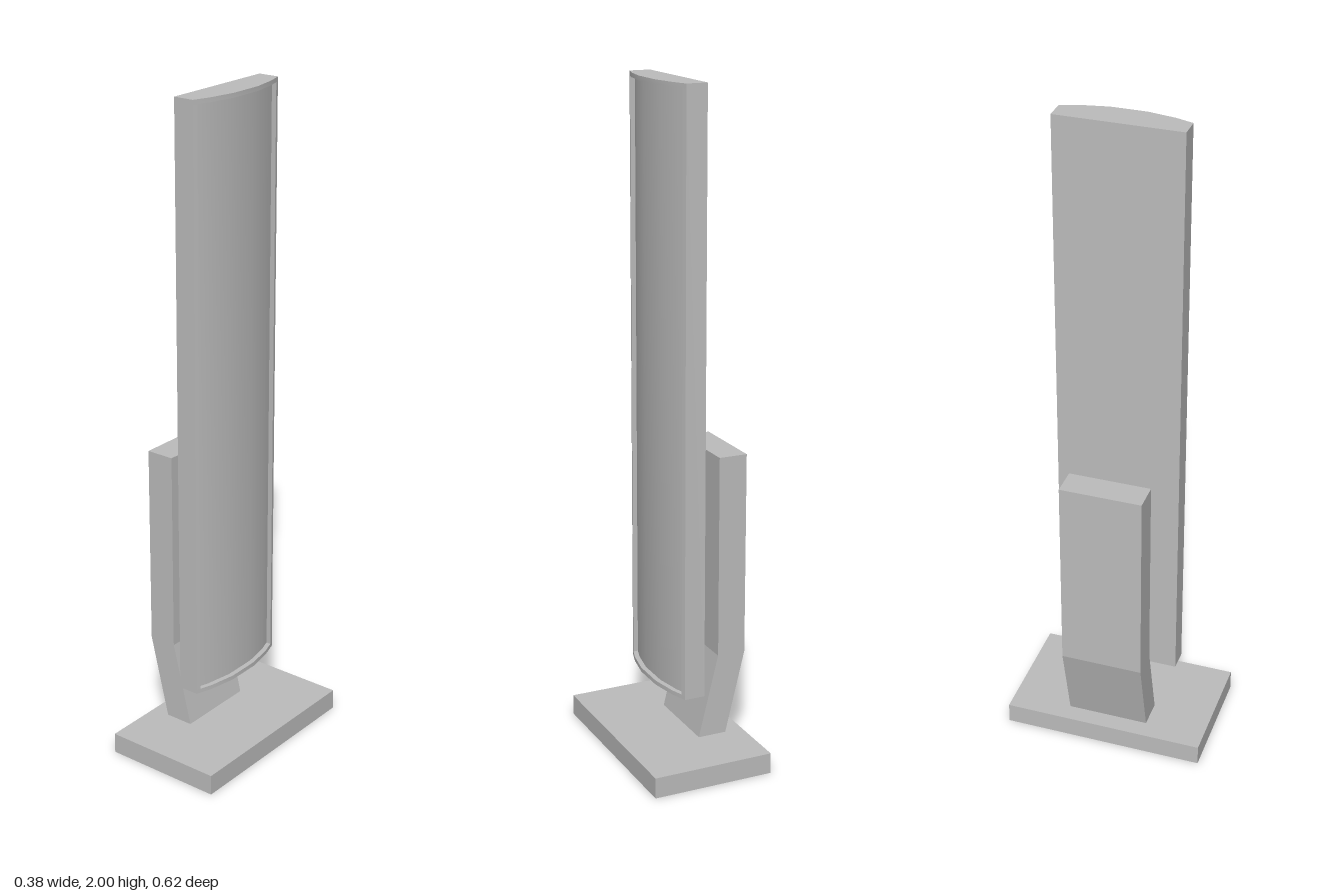
import * as THREE from 'three';
import { toCreasedNormals } from 'three/addons/utils/BufferGeometryUtils.js';

const toShape = (pts) => new THREE.Shape(pts.map(([x, y]) => new THREE.Vector2(x, y)));

// Extrude a plan outline (x, z) upwards between two heights, smoothing only the shallow curve
function extrudeUp(outline, y0, y1) {
  const g = new THREE.ExtrudeGeometry(toShape(outline), { depth: y1 - y0, bevelEnabled: false });
  g.rotateX(-Math.PI / 2).translate(0, y0, 0);
  return toCreasedNormals(g, 0.5);
}

export function createModel() {
  const group = new THREE.Group();
  const grey = new THREE.MeshStandardMaterial({ color: 0xbcbcbc });
  grey.name = 'grey';

  const add = (name, geometry) => {
    const mesh = new THREE.Mesh(geometry, grey);
    mesh.name = name;
    group.add(mesh);
  };
  const addBox = (name, x0, x1, y0, y1, depth) => {
    const g = new THREE.BoxGeometry(x1 - x0, y1 - y0, depth);
    add(name, g.translate((x0 + x1) / 2, (y0 + y1) / 2, 0));
  };

  // Base plate
  addBox('base', -0.184, 0.187, 0, 0.063, 0.616);

  // Upright with a kinked foot
  const upright = new THREE.ExtrudeGeometry(toShape([
    [-0.128, 0.063], [-0.04, 0.063], [-0.102, 0.315],
    [-0.102, 0.928], [-0.189, 0.928], [-0.189, 0.315],
  ]), { depth: 0.248, bevelEnabled: false });
  add('upright', upright.translate(0, 0, -0.124));

  // Bracket joining upright and panel
  addBox('bracket', -0.102, -0.027, 0.745, 0.863, 0.062);

  // Panel: bowed face towards +x, set back inside a thin rim
  const back = -0.027, edge = 0.185, rim = 0.013, recess = 0.015;
  const bow = [[0.053, 0.133], [0.068, 0.052]];
  const bowMirrored = [...bow].reverse().map(([x, z]) => [x, -z]);
  const arc = [...bowMirrored, ...bow].sort((a, b) => a[1] - b[1]);
  const full = [[back, -edge], [0.036, -edge], ...arc, [0.036, edge], [back, edge]];
  const inner = edge - rim, rimX = 0.0403;
  const recessed = [
    [back, -edge], [0.036, -edge], [rimX, -inner], [rimX - recess, -inner],
    ...arc.map(([x, z]) => [x - recess, z]),
    [rimX - recess, inner], [rimX, inner], [0.036, edge], [back, edge],
  ];
  const bottom = 0.225, top = 2;
  add('panelBody', extrudeUp(recessed, bottom + rim, top - rim));
  add('panelBottomRim', extrudeUp(full, bottom, bottom + rim));
  add('panelTopRim', extrudeUp(full, top - rim, top));

  return group;
}
